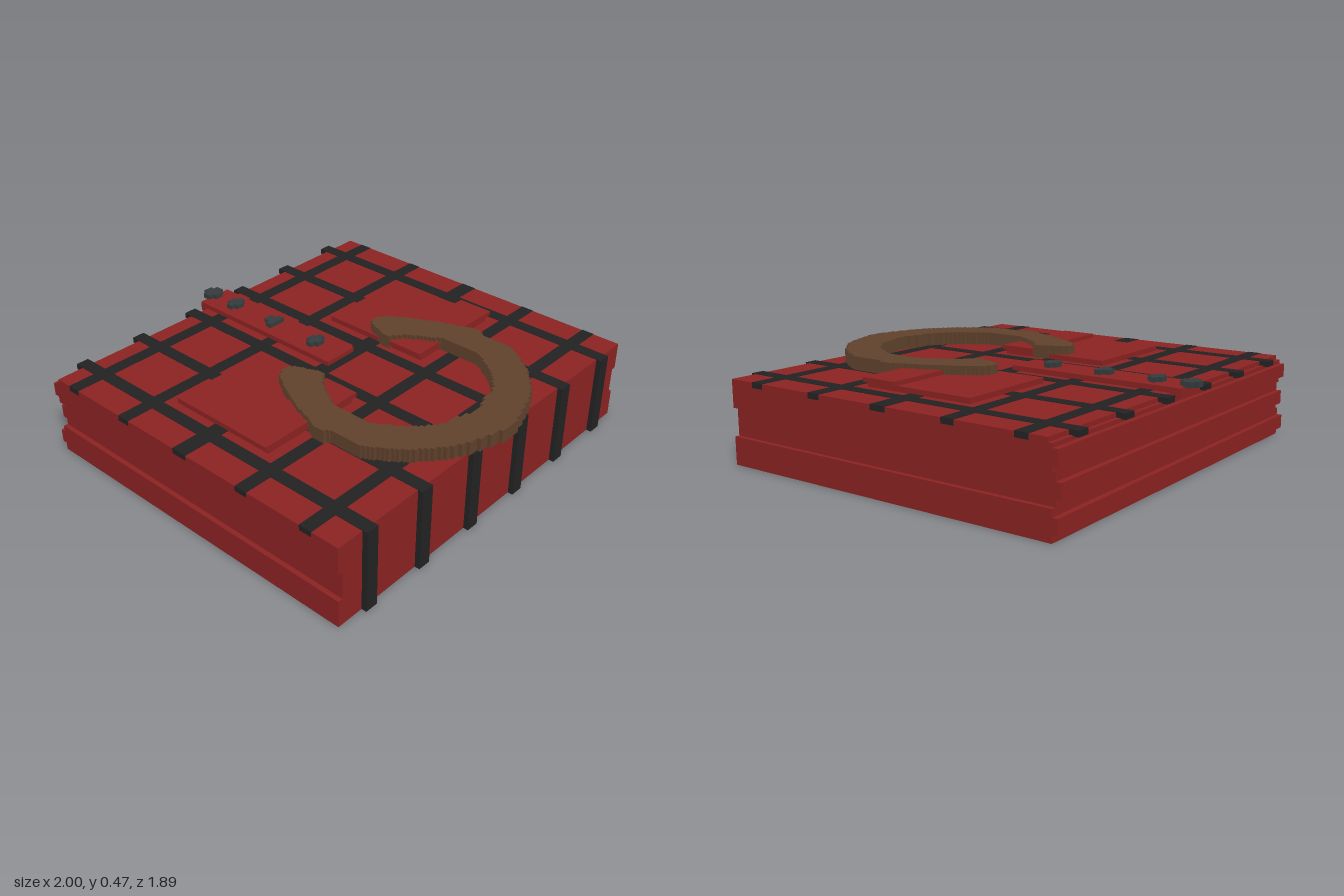
import * as THREE from 'three';

const mat = (name, color) => {
  const m = new THREE.MeshStandardMaterial({ color });
  m.name = name;
  return m;
};

export function createModel() {
  const group = new THREE.Group();
  const red = mat('red cloth', 0x8b2222);
  const black = mat('black stripe', 0x222222);
  const brown = mat('brown collar', 0x5f412c);
  const slate = mat('slate button', 0x353b3d);

  // Box given by its lower and upper limits on each axis
  const box = (name, material, x0, x1, y0, y1, z0, z1) => {
    const mesh = new THREE.Mesh(new THREE.BoxGeometry(x1 - x0, y1 - y0, z1 - z0), material);
    mesh.position.set((x0 + x1) / 2, (y0 + y1) / 2, (z0 + z1) / 2);
    mesh.name = name;
    group.add(mesh);
  };

  // Folded body: three layers, the middle one recessed at the sides
  const body = (name, w, y0, y1, z0 = -0.875) => box(name, red, -w, w, y0, y1, z0, 0.875);
  body('bottomFold', 0.999, 0, 0.133);
  body('middleFold', 0.976, 0.133, 0.267);
  body('topFold', 0.999, 0.267, 0.38);
  body('topPanel', 0.999, 0.38, 0.4, -0.855);

  // Ridges of cloth along the back edge
  [[0.035, 0.1, 0.999], [0.165, 0.23, 0.976], [0.298, 0.362, 0.999]].forEach(([y0, y1, w]) =>
    box('backRidge', red, -w, w, y0, y1, -0.9, -0.87));

  // Tartan stripes: lengthwise ones fold down over the front
  [-0.832, -0.5, -0.167, 0.167, 0.5, 0.832].forEach((x) => {
    box('lengthStripe', black, x - 0.032, x + 0.032, 0.376, 0.402, -0.9, 0.9);
    box('frontStripe', black, x - 0.032, x + 0.032, 0, 0.402, 0.87, 0.9);
  });
  [[-0.77, -0.705], [-0.417, -0.352], [-0.058, 0.022], [0.32, 0.385], [0.674, 0.738]].forEach(([z0, z1]) =>
    box('crossStripe', black, -1, 1, 0.376, 0.402, z0, z1));

  // Chest pockets with flaps
  for (const s of [-1, 1]) {
    const a = 0.5 * s;
    box('pocket', red, a - 0.258, a + 0.258, 0.39, 0.425, -0.303, 0.265);
    box('pocketFlap', red, a - 0.28, a + 0.28, 0.425, 0.446, 0.093, 0.273);
  }

  // Button placket and cross-shaped buttons
  box('placket', red, -0.09, 0.09, 0.376, 0.424, -0.9, 0.02 - 0.04);
  const button = (z, wide0, wide1, long0, long1) => {
    box('button', slate, -0.046, 0.046, 0.42, 0.446, z + wide0, z + wide1);
    box('button', slate, -0.023, 0.023, 0.42, 0.446, z + long0, z + long1);
  };
  button(-0.905, -0.022, 0.022, -0.043, 0.043);
  button(-0.738, -0.016, 0.016, -0.035, 0.035);
  button(-0.472, -0.003, 0.03, -0.035, 0.03);
  button(-0.185, -0.016, 0.016, -0.035, 0.035);

  // Open collar: stair-stepped outline from [z, x] curves
  const outer = [[-0.08, 0.33], [-0.04, 0.38], [0.01, 0.41], [0.13, 0.47], [0.2, 0.505], [0.29, 0.535],
    [0.32, 0.553], [0.385, 0.553], [0.4, 0.535], [0.56, 0.535], [0.64, 0.488], [0.73, 0.422],
    [0.785, 0.364], [0.845, 0.29], [0.887, 0.203], [0.915, 0.112], [0.94, 0.03]];
  const inner = [[-0.08, 0.29], [-0.05, 0.26], [0.0, 0.245], [0.045, 0.225], [0.08, 0.225], [0.13, 0.288],
    [0.19, 0.326], [0.28, 0.378], [0.5, 0.378], [0.57, 0.332], [0.63, 0.288], [0.68, 0.235],
    [0.71, 0.197], [0.73, 0.15], [0.742, 0.046], [0.762, 0.046]];
  const at = (curve, z) => {
    const i = Math.max(1, curve.findIndex((p) => p[0] >= z));
    const [[z0, x0], [z1, x1]] = [curve[i - 1], curve[i]];
    return x0 + ((x1 - x0) * (z - z0)) / (z1 - z0);
  };
  const stairs = (curve) => {
    const first = curve[0][0], last = curve[curve.length - 1][0];
    const rows = Math.round((last - first) / 0.0167);
    const step = (last - first) / rows;
    const points = [];
    for (let i = 0; i < rows; i++) {
      const x = Math.round(at(curve, first + (i + 0.5) * step) / 0.0083) * 0.0083;
      points.push([x, first + i * step], [x, first + (i + 1) * step]);
    }
    return points;
  };
  const mirror = (points) => points.map(([x, z]) => [-x, z]);
  const out = stairs(outer), inn = stairs(inner);
  const outline = [...out, ...mirror(out).reverse(), ...mirror(inn), ...inn.slice().reverse()];
  const shape = new THREE.Shape(outline.map(([x, z]) => new THREE.Vector2(x, -z)));
  const collar = new THREE.Mesh(
    new THREE.ExtrudeGeometry(shape, { depth: 0.064, bevelEnabled: false }), brown);
  collar.rotation.x = -Math.PI / 2;
  collar.position.y = 0.403;
  collar.name = 'collar';
  group.add(collar);

  return group;
}
